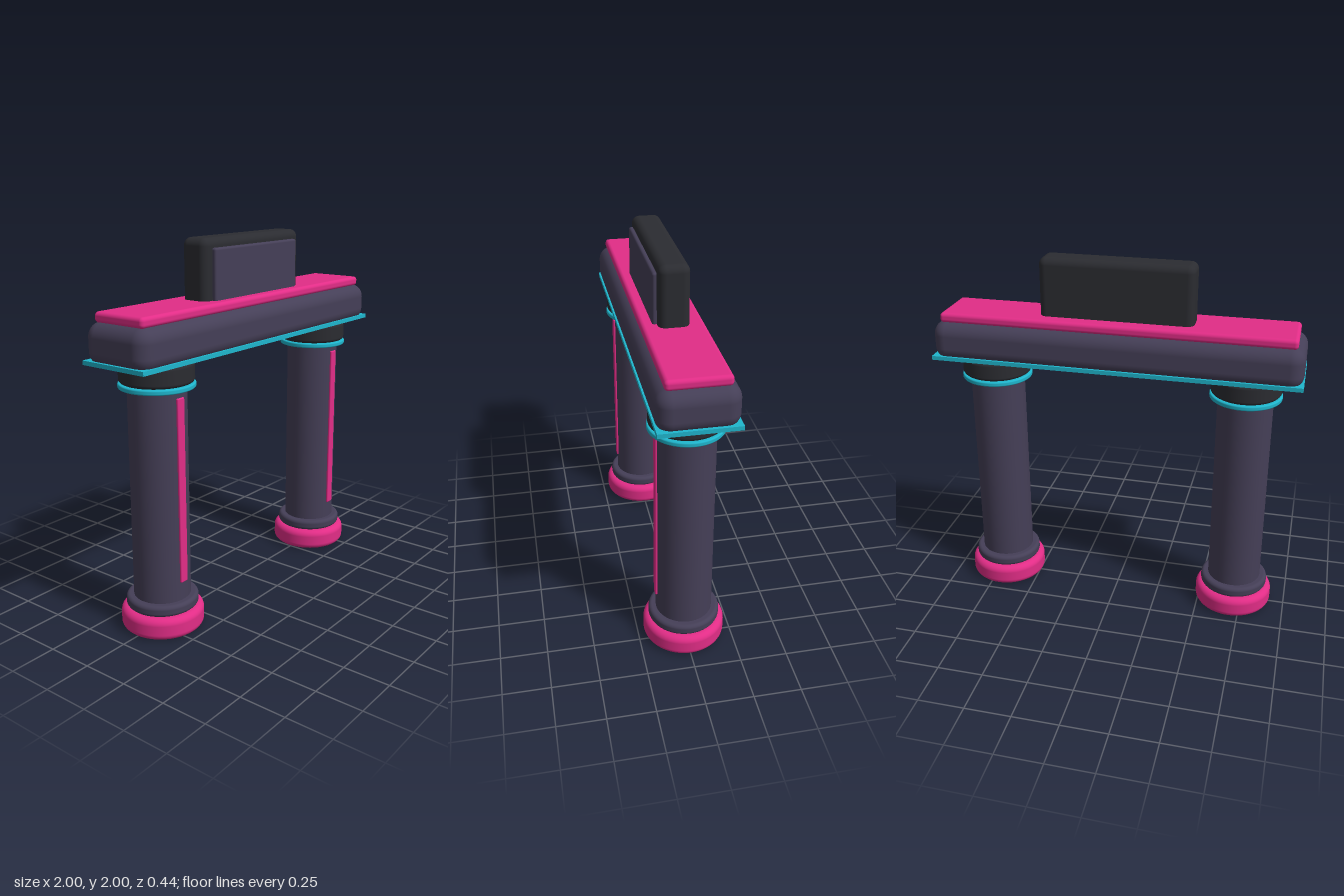
import * as THREE from 'three';
import { RoundedBoxGeometry } from 'three/addons/geometries/RoundedBoxGeometry.js';

const mat = (name, color) => {
  const m = new THREE.MeshStandardMaterial({ color });
  m.name = name;
  return m;
};

export function createModel() {
  const slate = mat('slate purple', 0x453f57);
  const charcoal = mat('charcoal', 0x2b2c31);
  const pink = mat('hot pink', 0xe22d87);
  const cyan = mat('cyan', 0x1fb6cd);

  const model = new THREE.Group();
  model.name = 'gateway';

  const add = (parent, name, geometry, material, x = 0, y = 0, z = 0) => {
    const mesh = new THREE.Mesh(geometry, material);
    mesh.name = name;
    mesh.position.set(x, y, z);
    parent.add(mesh);
  };

  // Box given by its extents, with rounded edges of radius r
  const block = (parent, name, material, halfWidth, y0, y1, z0, z1, r) =>
    add(parent, name, new RoundedBoxGeometry(halfWidth * 2, y1 - y0, z1 - z0, 5, r),
      material, 0, (y0 + y1) / 2, (z0 + z1) / 2);

  // Upright disc with rounded rims, standing between y0 and y1
  const disc = (parent, name, material, radius, y0, y1, r) => {
    const shape = new THREE.Path();
    shape.moveTo(0, y0);
    shape.lineTo(radius - r, y0);
    shape.absarc(radius - r, y0 + r, r, -Math.PI / 2, 0, false);
    shape.absarc(radius - r, y1 - r, r, 0, Math.PI / 2, false);
    shape.lineTo(0, y1);
    add(parent, name, new THREE.LatheGeometry(shape.getPoints(6), 48), material);
  };

  // Columns
  for (const [name, x] of [['leftColumn', 0.7], ['rightColumn', -0.7]]) {
    const column = new THREE.Group();
    column.name = name;
    column.position.x = x;
    disc(column, 'base', pink, 0.218, 0, 0.12, 0.035);
    disc(column, 'baseCollar', slate, 0.19, 0.12, 0.18, 0.02);
    add(column, 'shaft', new THREE.CylinderGeometry(0.15, 0.15, 1.16, 48), slate, 0, 0.74, 0);
    disc(column, 'neckRing', cyan, 0.195, 1.295, 1.322, 0.008);
    disc(column, 'capital', charcoal, 0.19, 1.322, 1.43, 0.02);
    block(column, 'frontStrip', pink, 0.025, 0.28, 1.26, 0.135, 0.159, 0.006);
    model.add(column);
  }

  // Beam with its trim and cap
  block(model, 'beam', slate, 0.997, 1.42, 1.64, -0.2, 0.2, 0.075);
  add(model, 'beamTrim', new THREE.BoxGeometry(2, 0.022, 0.4), cyan, 0, 1.441, 0);
  block(model, 'beamCap', pink, 0.955, 1.632, 1.686, -0.158, 0.158, 0.02);

  // Sign block on top with a raised front panel
  block(model, 'signBlock', charcoal, 0.415, 1.635, 2, -0.078, 0.08, 0.04);
  block(model, 'signPanel', slate, 0.357, 1.65, 1.95, 0.06, 0.102, 0.012);

  return model;
}
